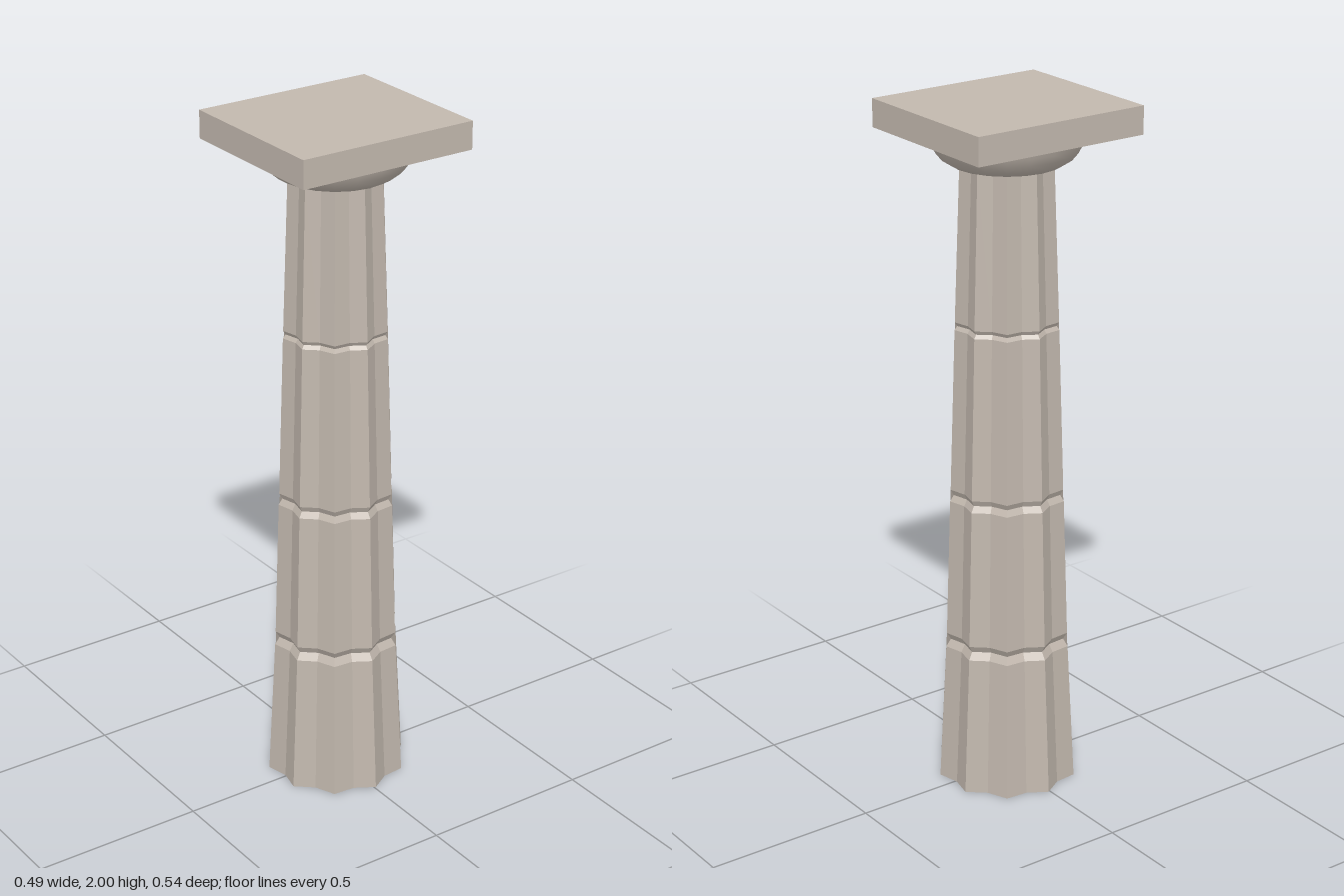
import * as THREE from 'three';

const FLUTES = 10;
const toPoints = (profile) => profile.map(([r, y]) => new THREE.Vector2(r, y));

// Lathe with every second column of vertices pulled in to carve the flutes
function flutedGeometry(profile, depth) {
  const lathe = new THREE.LatheGeometry(toPoints(profile), FLUTES * 2, Math.PI / 2);
  const pos = lathe.attributes.position;
  for (let i = 0; i < pos.count; i++) {
    if (Math.floor(i / profile.length) % 2 === 1) {
      pos.setX(i, pos.getX(i) * depth);
      pos.setZ(i, pos.getZ(i) * depth);
    }
  }
  const flat = lathe.toNonIndexed();
  flat.computeVertexNormals();
  return flat;
}

export function createModel() {
  const group = new THREE.Group();
  group.name = 'column';
  const stone = new THREE.MeshStandardMaterial({ color: 0xc2b8ae, side: THREE.DoubleSide });
  stone.name = 'warm grey stone';

  const add = (name, geometry, x, y, z) => {
    const mesh = new THREE.Mesh(geometry, stone);
    mesh.name = name;
    mesh.position.set(x, y, z);
    group.add(mesh);
  };

  // Tapering shaft of four drums, parted by V-shaped grooves; open at the foot
  const shaft = [
    [0.205, 0], [0.183, 0.415], [0.169, 0.437], [0.181, 0.457],
    [0.168, 0.866], [0.157, 0.884], [0.166, 0.901],
    [0.151, 1.374], [0.143, 1.385], [0.15, 1.396], [0.134, 1.845],
  ];
  add('shaft', flutedGeometry(shaft, 0.88), -0.005, 0, -0.005);

  // Rounded cushion under the slab
  const cushion = [
    [0.1, 1.834], [0.13, 1.834], [0.158, 1.84], [0.182, 1.855],
    [0.2, 1.877], [0.212, 1.9], [0.22, 1.922],
  ];
  add('cushion', new THREE.LatheGeometry(toPoints(cushion), 20), -0.005, 0, -0.005);

  // Square top slab
  add('topSlab', new THREE.BoxGeometry(0.49, 0.08, 0.54), 0, 1.96, 0);

  return group;
}
